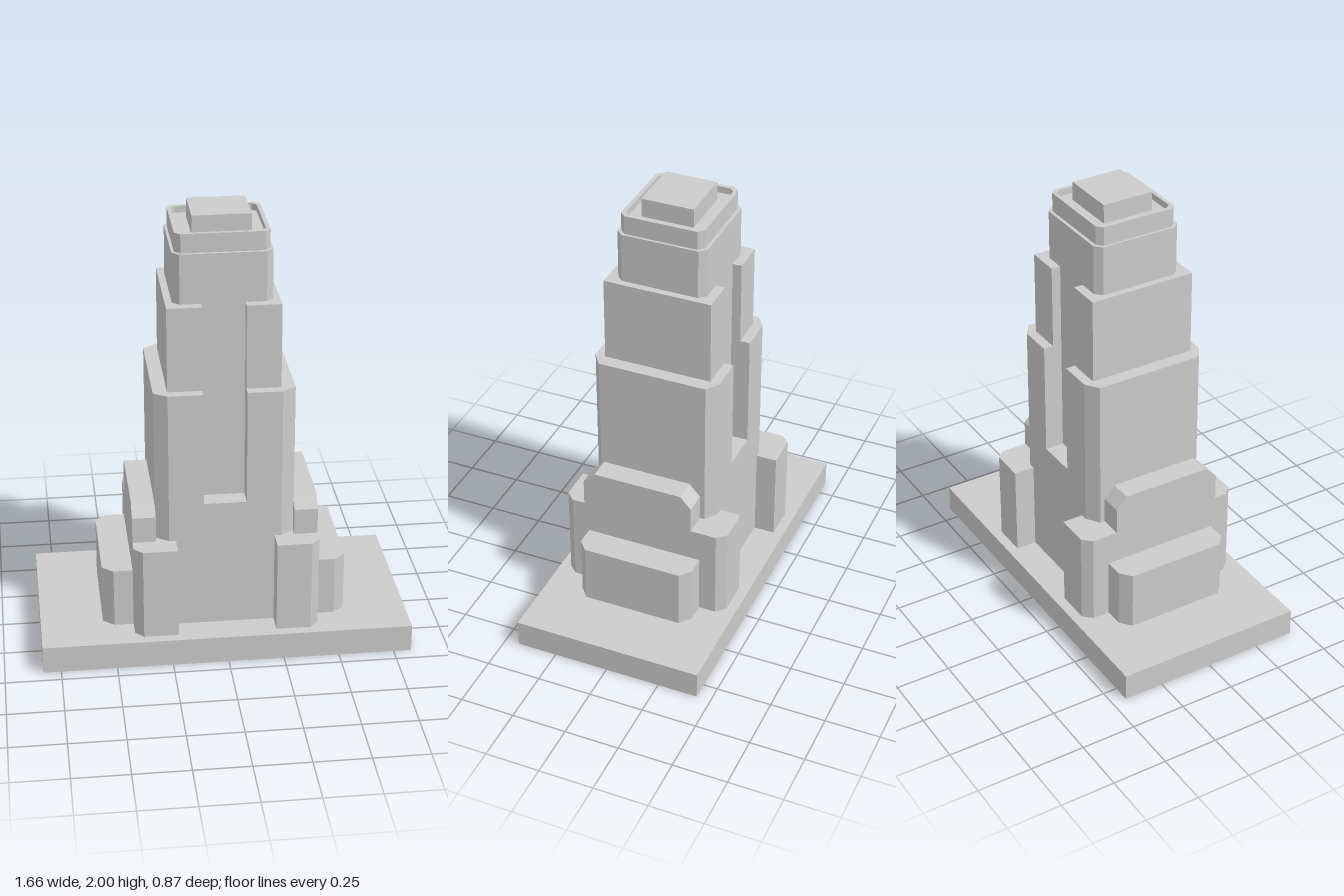
import * as THREE from 'three';

const material = new THREE.MeshStandardMaterial({ color: 0xcccccc, flatShading: true });

function shapeOf(points) {
  return new THREE.Shape(points.map(([a, b]) => new THREE.Vector2(a, b)));
}

// Rectangle (x half-width, z half-depth) with cut corners, as [x, -z] points
function chamfered(w, d, cx, cz = cx) {
  return [
    [w, -d + cz], [w, d - cz], [w - cx, d], [-w + cx, d],
    [-w, d - cz], [-w, -d + cz], [-w + cx, -d], [w - cx, -d],
  ];
}

// Outline with a slot cut into the middle of the front and back
function slotted(w, d, cx, cz) {
  const s = 0.095, f = 0.2;
  const side = cx > 0 ? [[w, -d + cz], [w, d - cz], [w - cx, d]] : [[w, -d], [w, d]];
  const first = cx > 0 ? [[w - cx, -d]] : [];
  const half = [[s, -f], [s, -d], ...first, ...side, [s, d], [s, f]];
  return [...half, ...half.map(([x, z]) => [-x, -z])];
}

export function createModel() {
  const group = new THREE.Group();

  const add = (name, geometry) => {
    const mesh = new THREE.Mesh(geometry, material);
    mesh.name = name;
    group.add(mesh);
    return mesh;
  };

  // Upright prism from a plan outline
  const prism = (name, plan, y0, y1, hole) => {
    const shape = shapeOf(plan);
    if (hole) shape.holes.push(shapeOf(hole));
    const geometry = new THREE.ExtrudeGeometry(shape, { depth: y1 - y0, bevelEnabled: false });
    geometry.rotateX(-Math.PI / 2);
    geometry.translate(0, y0, 0);
    return add(name, geometry);
  };

  const base = add('base', new THREE.BoxGeometry(1.66, 0.125, 0.87));
  base.position.y = 0.0625;

  // Main tower, stepping inwards with recessed slots front and back
  prism('towerFoot', chamfered(0.31, 0.292, 0.06, 0.042), 0.125, 0.725);
  prism('lowerTower', slotted(0.31, 0.292, 0.06, 0.042), 0.725, 1.25);
  prism('middleTower', slotted(0.248, 0.247, 0, 0), 1.25, 1.635);
  prism('upperTower', chamfered(0.217, 0.205, 0.03), 0.725, 1.86);

  // Crown with a sunken roof behind a thin parapet
  prism('crown', chamfered(0.205, 0.19, 0.025), 1.86, 1.915);
  prism('parapet', chamfered(0.205, 0.19, 0.025), 1.915, 1.945,
    chamfered(0.187, 0.173, 0.02));
  const cap = add('roofCap', new THREE.BoxGeometry(0.256, 0.095, 0.236));
  cap.position.set(0.003, 1.9525, 0);

  // Low wings reaching out along x
  prism('lowWings', chamfered(0.549, 0.27, 0.05, 0.042), 0.125, 0.4);

  for (const side of [1, -1]) {
    // Shoulder wing with sloped front and back ends
    const profile = shapeOf([
      [-0.228, 0.125], [0.29, 0.125], [0.29, 0.67],
      [0.235, 0.725], [-0.178, 0.725], [-0.228, 0.67],
    ]);
    const wing = new THREE.ExtrudeGeometry(profile, { depth: 0.105, bevelEnabled: false });
    wing.rotateY(-Math.PI / 2);
    wing.translate(side > 0 ? 0.413 : -0.308, 0, 0);
    add(side > 0 ? 'leftShoulder' : 'rightShoulder', wing);

    // Corner buttresses with a cut outer edge
    for (const end of [1, -1]) {
      const plan = [[0.22, 0.18], [0.413, 0.18], [0.413, 0.348], [0.375, 0.388], [0.22, 0.388]]
        .map(([x, z]) => [x * side, -z * end]);
      const name = (end > 0 ? 'front' : 'back') + (side > 0 ? 'Left' : 'Right') + 'Buttress';
      prism(name, plan, 0.125, 0.55);
    }
  }

  return group;
}
